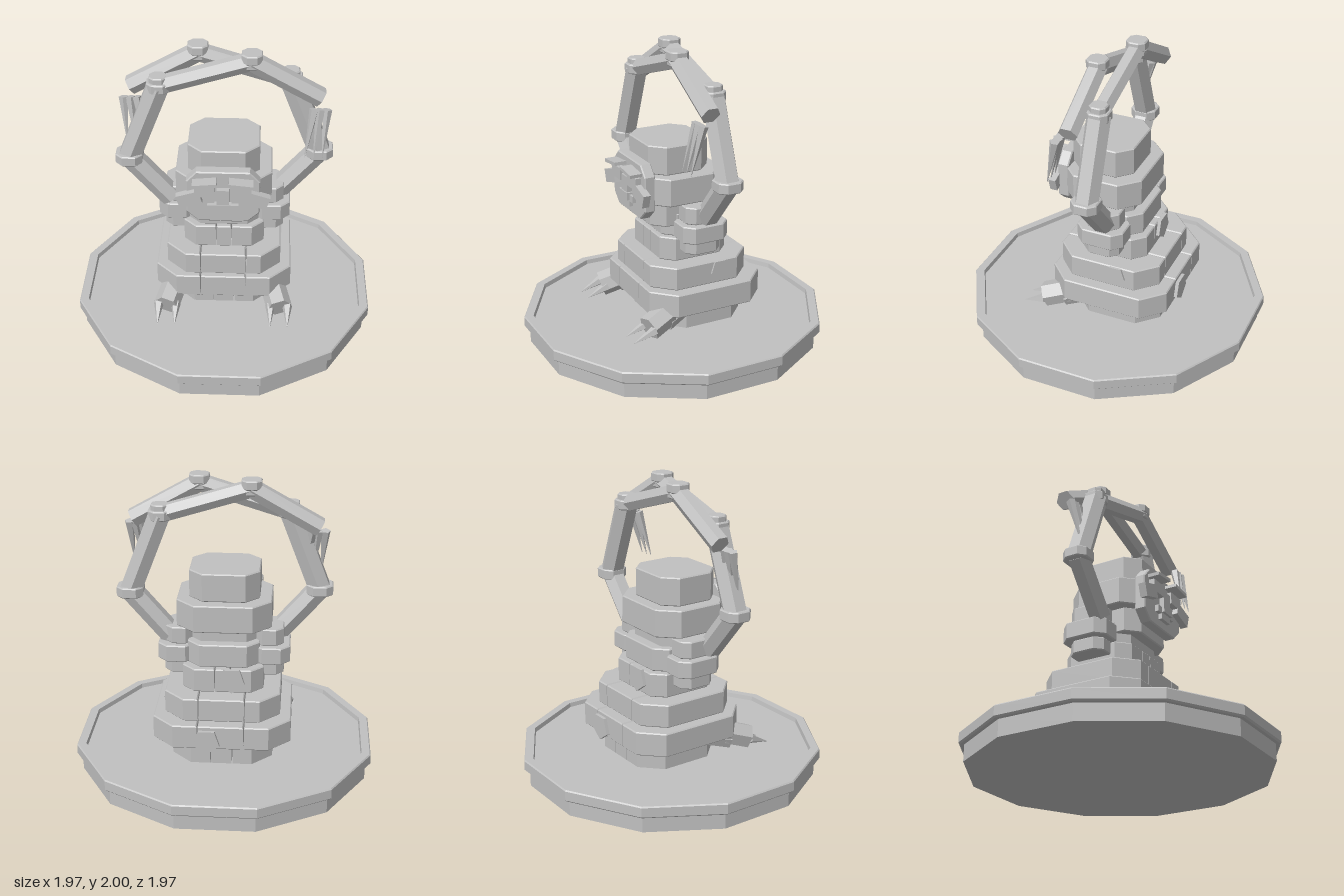
import * as THREE from 'three';

export function createModel() {
  const model = new THREE.Group();
  const stone = new THREE.MeshStandardMaterial({ color: 0xc0c0c0, flatShading: true });
  stone.name = 'grey stone';

  const add = (name, geo) => {
    const mesh = new THREE.Mesh(geo, stone);
    mesh.name = name;
    model.add(mesh);
    return mesh;
  };
  const V = (x, y, z) => new THREE.Vector3(x, y, z);

  // Extruded outline with a fine bevel that stays inside the given size
  const extrude = (pts, depth) => {
    const b = 0.007;
    return new THREE.ExtrudeGeometry(new THREE.Shape(pts.map(p => new THREE.Vector2(...p))), {
      depth: depth - 2 * b, bevelEnabled: true, bevelSize: b, bevelOffset: -b, bevelThickness: b, bevelSegments: 1,
    }).translate(0, 0, b);
  };
  // Rectangle outline with separate corner cuts on the left and right
  const outline = (x0, x1, y0, y1, cl, cr) => {
    const p = [];
    if (cl) p.push([x0, y1 - cl], [x0, y0 + cl], [x0 + cl, y0]); else p.push([x0, y1], [x0, y0]);
    if (cr) p.push([x1 - cr, y0], [x1, y0 + cr], [x1, y1 - cr], [x1 - cr, y1]); else p.push([x1, y0], [x1, y1]);
    if (cl) p.push([x0 + cl, y1]);
    return p;
  };
  // Horizontal slab with cut corners
  const slab = (name, x0, x1, y0, y1, z0, z1, cl, cr = cl) =>
    add(name, extrude(outline(x0, x1, -z1, -z0, cl, cr), y1 - y0).rotateX(-Math.PI / 2).translate(0, y0, 0));
  // Slab of three blocks separated by two narrow seams
  const coil = (name, w, y0, y1, z0, z1, c, seam) => {
    slab(name + 'Right', -w, -seam - 0.003, y0, y1, z0, z1, c, 0);
    slab(name + 'Middle', -seam + 0.003, seam - 0.003, y0, y1, z0, z1, 0);
    slab(name + 'Left', seam + 0.003, w, y0, y1, z0, z1, 0, c);
  };
  const box = (name, w, h, d, x, y, z, tilt = 0) =>
    add(name, new THREE.BoxGeometry(w, h, d).rotateZ(tilt).translate(x, y, z));
  // Prism or spike between two points
  const limb = (name, a, b, r0, r1, sides = 6) => {
    const dir = b.clone().sub(a);
    const mesh = add(name, new THREE.CylinderGeometry(r1, r0, dir.length(), sides));
    mesh.position.copy(a).add(b).multiplyScalar(0.5);
    mesh.quaternion.setFromUnitVectors(V(0, 1, 0), dir.normalize());
    return mesh;
  };

  // Twelve-sided plinth with a raised rim
  const k = 1 / Math.cos(Math.PI / 12);
  const profile = [[0, 0], [0.95, 0], [0.95, 0.11], [0.975, 0.11], [0.985, 0.12], [0.985, 0.182],
    [0.978, 0.19], [0.925, 0.19], [0.92, 0.16], [0, 0.16]];
  add('plinth', new THREE.LatheGeometry(profile.map(([r, y]) => new THREE.Vector2(r * k, y)), 12, Math.PI / 12));

  // Stepped body
  coil('foot', 0.33, 0.15, 0.31, -0.4, 0.2, 0.13, 0.07);
  coil('lowerTier', 0.45, 0.31, 0.47, -0.485, 0.33, 0.14, 0.15);
  coil('middleTier', 0.378, 0.47, 0.625, -0.408, 0.295, 0.13, 0.15);
  coil('upperTier', 0.265, 0.625, 0.785, -0.29, 0.195, 0.08, 0.05);
  slab('chest', -0.235, 0.235, 0.785, 0.94, -0.25, 0.17, 0.08);
  slab('neck', -0.23, 0.23, 0.86, 1.03, -0.18, 0.245, 0.08);
  slab('headBand', -0.31, 0.31, 1.025, 1.21, -0.25, 0.295, 0.12);
  slab('crown', -0.23, 0.23, 1.21, 1.4, -0.175, 0.25, 0.09);

  // Face plate and features
  const face = [[-0.16, 0.92], [0.16, 0.92], [0.235, 0.99], [0.235, 1.22], [0.17, 1.29], [-0.17, 1.29], [-0.235, 1.22], [-0.235, 0.99]];
  add('facePlate', extrude(face, 0.075).translate(0, 0, 0.245));
  box('nose', 0.08, 0.14, 0.04, 0, 1.105, 0.335);
  box('noseTip', 0.11, 0.05, 0.055, 0, 1.045, 0.335);
  box('upperLip', 0.2, 0.045, 0.03, 0, 1.035, 0.33);
  box('lowerLip', 0.11, 0.04, 0.03, 0, 0.995, 0.33);

  for (const s of [1, -1]) {
    const side = s > 0 ? 'left' : 'right';
    const span = (a, b) => s > 0 ? [a, b] : [-b, -a];
    box(side + 'Eye', 0.13, 0.08, 0.04, s * 0.115, 1.165, 0.34);
    box(side + 'Brow', 0.155, 0.022, 0.085, s * 0.115, 1.236, 0.36, -s * 0.1);
    box(side + 'Cheek', 0.15, 0.09, 0.05, s * 0.215, 1.105, 0.335, s * -0.3);

    // Three-layer shoulder
    slab(side + 'ShoulderBottom', ...span(0.2, 0.393), 0.7, 0.79, -0.16, 0.085, 0.05);
    slab(side + 'ShoulderMiddle', ...span(0.19, 0.433), 0.79, 0.905, -0.2, 0.12, 0.06);
    slab(side + 'ShoulderTop', ...span(0.2, 0.39), 0.905, 1.02, -0.16, 0.085, 0.05);

    // Long arm arching over the head, one in front of the other
    const z = s > 0 ? -0.06 : 0.058;
    const [shoulder, elbow, wrist, knuckle, tip] = [[0.35, 0.93], [0.615, 1.24], [0.415, 1.76], [-0.17, 1.94], [-0.605, 1.695]]
      .map(([x, y]) => V(s * x, y, z));
    limb(side + 'UpperArm', shoulder, elbow, 0.076, 0.076);
    limb(side + 'Forearm', elbow, wrist, 0.08, 0.08);
    limb(side + 'HandBar', wrist, knuckle, 0.06, 0.06);
    limb(side + 'FingerBar', knuckle, tip, 0.064, 0.064);
    const joint = (name, p, w, h) =>
      slab(side + name, p.x - w / 2, p.x + w / 2, p.y - h / 2, p.y + h / 2, z - w / 2, z + w / 2, w * 0.25);
    joint('Elbow', elbow, 0.175, 0.07);
    joint('Wrist', wrist, 0.145, 0.065);
    joint('WristCap', wrist.clone().setY(1.8), 0.11, 0.06);
    joint('Knuckle', knuckle, 0.115, 0.075);
    joint('KnuckleCap', knuckle.clone().setY(1.97), 0.13, 0.06);

    // Hanging claws at the end of the arm
    for (let i = 0; i < 3; i++) {
      limb(side + 'HandClaw', V(-s * (0.56 + 0.04 * i), 1.65, z + 0.07),
        V(-s * (0.51 + 0.055 * i), 1.34, z + 0.14), 0.032, 0.002, 5);
    }

    // Foot with two claws
    limb(side + 'Leg', V(s * 0.27, 0.3, 0.04), V(s * 0.35, 0.26, 0.24), 0.06, 0.07);
    limb(side + 'Paw', V(s * 0.335, 0.305, 0.21), V(s * 0.38, 0.25, 0.37), 0.085, 0.085);
    for (const x of [0.318, 0.432]) {
      limb(side + 'FootClaw', V(s * x, 0.255, 0.35), V(s * x, 0.195, 0.5), 0.035, 0.002, 5);
    }
  }

  // Raised worn patches on the body
  const patch = (name, r, x, y, z, turn) => {
    const mesh = add(name, new THREE.CylinderGeometry(r, r, 0.025, 5).rotateX(Math.PI / 2));
    mesh.position.set(x, y, z);
    mesh.rotation.y = turn;
  };
  patch('sidePatch', 0.07, 0.378, 0.565, -0.15, Math.PI / 2);
  patch('lowerBackPatch', 0.09, 0.09, 0.37, -0.495, Math.PI);
  patch('upperBackPatch', 0.09, -0.06, 0.72, -0.3, Math.PI);

  return model;
}
